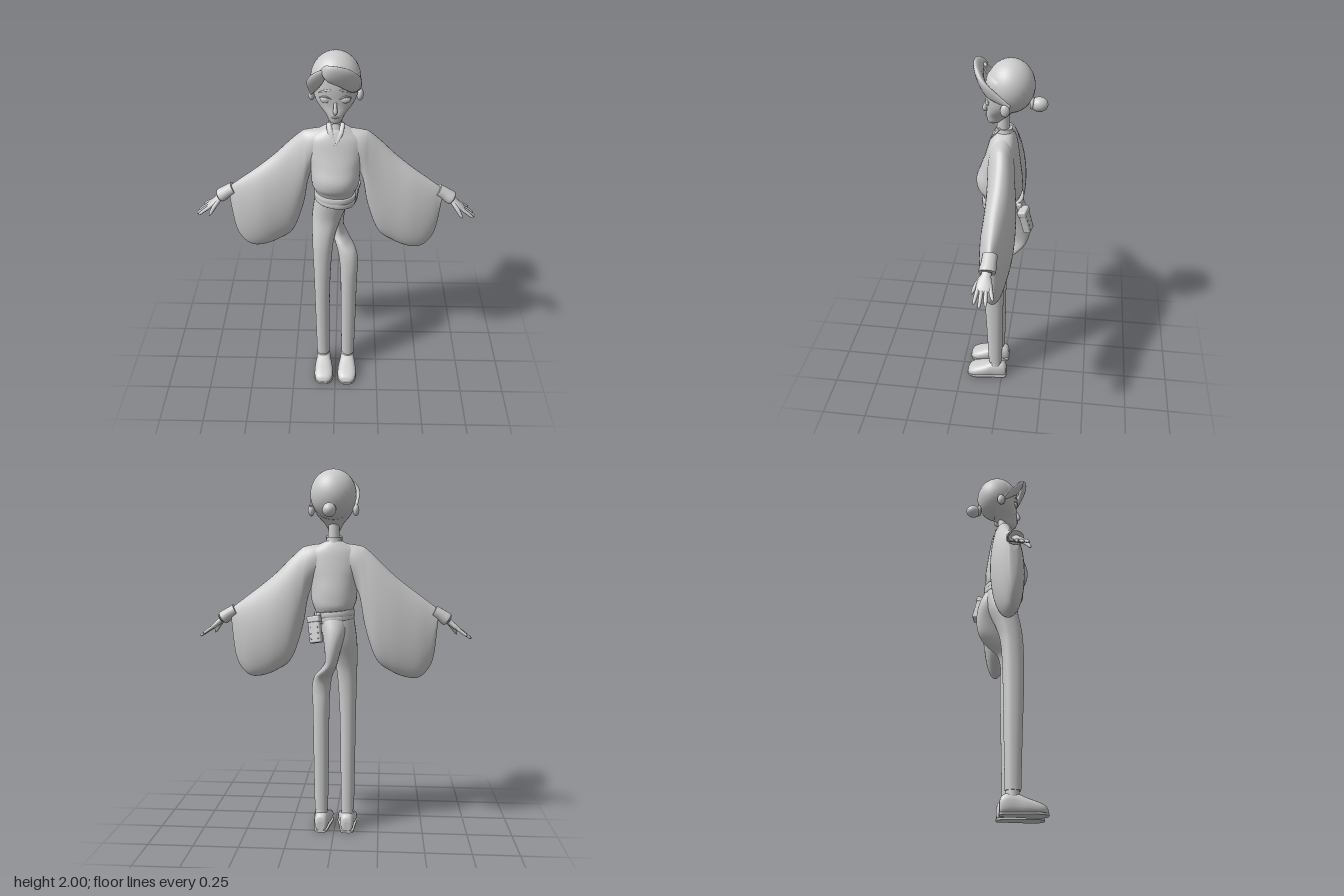
import * as THREE from 'three';
import { RoundedBoxGeometry } from 'three/addons/geometries/RoundedBoxGeometry.js';

const clay = new THREE.MeshStandardMaterial({ color: 0xcccccc });
clay.name = 'pale grey';

// Catmull-Rom smoothing of rows of numbers
function smoothRows(rows, steps) {
  const out = [], at = (i) => rows[Math.max(0, Math.min(rows.length - 1, i))];
  for (let i = 0; i < rows.length - 1; i++) {
    for (let s = 0; s < steps; s++) {
      const t = s / steps;
      out.push(at(i).map((b, k) => {
        const a = at(i - 1)[k], c = at(i + 1)[k], d = at(i + 2)[k];
        return b + 0.5 * t * (c - a + t * (2 * a - 5 * b + 4 * c - d + t * (3 * (b - c) + d - a)));
      }));
    }
  }
  out.push(at(rows.length - 1));
  return out;
}

// Closed skin over rings of points, with separate end caps
function skin(rings) {
  const m = rings[0].length, pos = [], idx = [];
  rings.forEach((r) => r.forEach((p) => pos.push(p.x, p.y, p.z)));
  for (let i = 0; i < rings.length - 1; i++) {
    for (let j = 0; j < m; j++) {
      const a = i * m + j, b = i * m + (j + 1) % m;
      idx.push(a, b, a + m, b, b + m, a + m);
    }
  }
  [rings[0], rings[rings.length - 1]].forEach((r, end) => {
    const base = pos.length / 3, c = new THREE.Vector3();
    r.forEach((p) => { c.addScaledVector(p, 1 / m); pos.push(p.x, p.y, p.z); });
    pos.push(c.x, c.y, c.z);
    for (let j = 0; j < m; j++) {
      const a = base + j, b = base + (j + 1) % m;
      idx.push(base + m, end ? a : b, end ? b : a);
    }
  });
  const g = new THREE.BufferGeometry();
  g.setAttribute('position', new THREE.Float32BufferAttribute(pos, 3));
  g.setIndex(idx);
  g.computeVertexNormals();
  return g;
}

const power = (v, n) => Math.sign(v) * Math.abs(v) ** (2 / n);

// Loft along an axis. Rows: y [y,x0,x1,z0,z1], x [x,y0,y1,z0,z1], z [z,x0,x1,y0,y1]
function loft(axis, rows, n = 2, steps = 5, m = 32) {
  return skin(smoothRows(rows, steps).map(([t, a0, a1, b0, b1]) => Array.from({ length: m }, (_, j) => {
    const th = j / m * Math.PI * 2;
    let u = Math.cos(th), v = Math.sin(th);
    if (axis === 'y') [u, v] = [v, u];
    const a = (a0 + a1) / 2 + (a1 - a0) / 2 * power(u, n);
    const b = (b0 + b1) / 2 + (b1 - b0) / 2 * power(v, n);
    return axis === 'x' ? new THREE.Vector3(t, a, b)
      : axis === 'y' ? new THREE.Vector3(a, t, b) : new THREE.Vector3(a, b, t);
  })));
}

// Flattened strand along rows [x,y,z,halfWidth,halfThickness]
function strand(rows, wide = [0, 0, 1], m = 14) {
  const r = smoothRows(rows, 5), at = (i) => new THREE.Vector3(...r[Math.max(0, Math.min(r.length - 1, i))].slice(0, 3));
  return skin(r.map((row, i) => {
    const T = at(i + 1).sub(at(i - 1)).normalize();
    const W = new THREE.Vector3(...wide);
    W.addScaledVector(T, -W.dot(T)).normalize();
    const N = T.clone().cross(W);
    return Array.from({ length: m }, (_, j) => {
      const th = j / m * Math.PI * 2;
      return at(i).addScaledVector(W, row[3] * Math.cos(th)).addScaledVector(N, row[4] * Math.sin(th));
    });
  }));
}

export function createModel() {
  const model = new THREE.Group();
  const add = (name, geo, parent = model) => {
    const mesh = new THREE.Mesh(geo, clay);
    mesh.name = name;
    parent.add(mesh);
    return mesh;
  };
  const ball = (name, p, s, parent) => add(name,
    new THREE.SphereGeometry(1, 28, 20).scale(...s).translate(...p), parent);

  // Head: face, skull of hair, bun and swept locks
  const head = new THREE.Group();
  head.name = 'head';
  model.add(head);
  add('face', loft('y', [
    [1.672, -0.012, 0.012, 0.035, 0.065], [1.685, -0.03, 0.03, 0.01, 0.077], [1.72, -0.05, 0.05, -0.03, 0.083],
    [1.76, -0.085, 0.085, -0.07, 0.078], [1.8, -0.105, 0.105, -0.1, 0.08], [1.86, -0.112, 0.112, -0.12, 0.084],
    [1.92, -0.1, 0.1, -0.1, 0.075], [1.96, -0.04, 0.04, -0.06, 0.03]], 2.2), head);
  ball('hair', [0, 1.868, -0.036], [0.121, 0.13, 0.117], head);
  ball('bun', [0.012, 1.785, -0.175], [0.035, 0.036, 0.042], head);
  add('bunTie', new THREE.TorusGeometry(0.022, 0.01, 8, 20).translate(0.01, 1.79, -0.14), head);
  add('quiff', strand([[-0.065, 1.95, 0.085, 0.008, 0.006], [-0.03, 1.95, 0.117, 0.045, 0.016], [0.04, 1.925, 0.107, 0.054, 0.018],
    [0.095, 1.87, 0.06, 0.04, 0.016], [0.118, 1.81, -0.045, 0.006, 0.006]], [0.25, 0.9, 0.3]), head);
  add('sideLock', strand([[-0.03, 1.955, 0.09, 0.01, 0.008], [-0.075, 1.925, 0.095, 0.035, 0.013],
    [-0.105, 1.875, 0.07, 0.032, 0.012], [-0.117, 1.8, 0.0, 0.006, 0.005]], [-0.4, 0.8, 0.4]), head);
  add('nose', strand([[0, 1.79, 0.078, 0.007, 0.007], [0, 1.755, 0.09, 0.01, 0.011],
    [0, 1.742, 0.091, 0.01, 0.01], [0, 1.733, 0.082, 0.004, 0.004]], [1, 0, 0]), head);
  ball('mouth', [0, 1.714, 0.083], [0.018, 0.004, 0.005], head);
  for (const s of [-1, 1]) {
    ball('eye', [s * 0.046, 1.802, 0.067], [0.026, 0.019, 0.013], head);
    add('eyelid', strand([[s * 0.018, 1.806, 0.079, 0.003, 0.003], [s * 0.046, 1.82, 0.078, 0.004, 0.005],
      [s * 0.075, 1.808, 0.06, 0.003, 0.003]], [0, 1, 0], 8), head);
    add('eyebrow', strand([[s * 0.02, 1.853, 0.083, 0.004, 0.003], [s * 0.05, 1.849, 0.077, 0.005, 0.003],
      [s * 0.078, 1.835, 0.063, 0.002, 0.002]], [0, 1, 0], 8), head);
    ball('ear', [s * 0.117, 1.79, -0.022], [0.017, 0.032, 0.023], head);
  }

  // Neck and crossed collar
  add('neck', new THREE.CylinderGeometry(0.028, 0.034, 0.13, 24).translate(0, 1.665, 0));
  add('collar', loft('y', [[1.59, -0.065, 0.065, -0.06, 0.05], [1.625, -0.043, 0.043, -0.05, 0.042],
    [1.65, -0.037, 0.037, -0.047, 0.034]]));
  for (const s of [-1, 1]) {
    add('lapel', strand([[s * 0.034, 1.655, 0.015, 0.012, 0.006], [s * 0.025, 1.615, 0.044, 0.014, 0.006],
      [0, 1.558, 0.072, 0.005, 0.004]], [1, 0.4, 0]));
  }

  // Bloused top
  add('top', loft('y', [
    [1.255, -0.098, 0.098, -0.085, 0.1], [1.285, -0.11, 0.11, -0.098, 0.112], [1.32, -0.122, 0.122, -0.1, 0.133],
    [1.37, -0.125, 0.125, -0.098, 0.138], [1.43, -0.13, 0.13, -0.09, 0.117], [1.5, -0.145, 0.145, -0.08, 0.092],
    [1.57, -0.14, 0.14, -0.068, 0.07], [1.61, -0.085, 0.085, -0.056, 0.052], [1.63, -0.045, 0.045, -0.045, 0.04]], 2.2));

  // Arms: hanging sleeve, cuff and hand, built once and mirrored
  for (const s of [1, -1]) {
    const arm = new THREE.Group();
    arm.name = s > 0 ? 'leftArm' : 'rightArm';
    arm.scale.x = s;
    model.add(arm);
    add('sleeve', loft('x', [
      [0.03, 1.45, 1.622, -0.055, 0.05], [0.1, 1.41, 1.613, -0.066, 0.06], [0.14, 1.33, 1.606, -0.072, 0.062],
      [0.17, 1.17, 1.594, -0.08, 0.062], [0.23, 1.0, 1.54, -0.092, 0.064], [0.31, 0.935, 1.462, -0.092, 0.068],
      [0.39, 0.902, 1.397, -0.08, 0.07], [0.46, 0.9, 1.345, -0.065, 0.06], [0.51, 0.945, 1.308, -0.048, 0.046],
      [0.54, 1.02, 1.285, -0.036, 0.032], [0.556, 1.18, 1.27, -0.026, 0.022]], 2, 5, 40), arm);
    add('cuff', strand([[0.535, 1.262, -0.004, 0.036, 0.032], [0.57, 1.242, -0.003, 0.037, 0.033],
      [0.605, 1.218, 0, 0.041, 0.036], [0.608, 1.216, 0, 0.034, 0.029]]), arm);
    add('palm', strand([[0.59, 1.225, 0, 0.022, 0.018], [0.62, 1.203, 0.004, 0.025, 0.016], [0.65, 1.178, 0.007, 0.037, 0.014],
      [0.672, 1.161, 0.007, 0.036, 0.011], [0.68, 1.155, 0.007, 0.028, 0.006]]), arm);
    [[-0.022, -0.037, 0.71], [-0.003, -0.008, 0.733], [0.016, 0.02, 0.74], [0.034, 0.046, 0.727]].forEach(([z0, z1, x1]) => {
      const y1 = 1.165 - (x1 - 0.664) * 0.7;
      add('finger', strand([[0.66, 1.169, z0, 0.01, 0.009], [(0.66 + x1) / 2, (1.172 + y1) / 2, (z0 + z1) / 2, 0.0095, 0.009],
        [x1 - 0.006, y1 + 0.005, z1, 0.007, 0.007], [x1, y1, z1, 0.002, 0.002]], [0, 0, 1], 10), arm);
    });
    add('thumb', strand([[0.615, 1.2, 0.018, 0.012, 0.012], [0.64, 1.17, 0.044, 0.011, 0.011],
      [0.66, 1.14, 0.06, 0.008, 0.008], [0.667, 1.128, 0.064, 0.002, 0.002]], [0, 0, 1], 10), arm);
  }

  // Trousers: straight right leg, left leg with a swept-back thigh
  add('rightTrouserLeg', loft('y', [
    [0.12, -0.112, -0.037, 0.0, 0.08], [0.4, -0.116, -0.035, -0.005, 0.09], [0.7, -0.12, -0.029, -0.01, 0.102],
    [0.9, -0.125, -0.016, -0.02, 0.1], [1.0, -0.127, 0.0, -0.045, 0.09], [1.1, -0.126, 0.035, -0.085, 0.075],
    [1.2, -0.113, 0.075, -0.1, 0.088], [1.27, -0.1, 0.095, -0.088, 0.098]], 2.2));
  add('leftTrouserLeg', loft('y', [
    [0.12, 0.037, 0.112, 0.0, 0.08], [0.4, 0.032, 0.117, -0.005, 0.09], [0.7, 0.029, 0.121, -0.01, 0.102],
    [0.82, 0.023, 0.125, -0.008, 0.1], [0.89, 0.012, 0.112, -0.03, 0.088], [0.94, -0.008, 0.073, -0.1, 0.062],
    [0.99, -0.025, 0.045, -0.135, 0.03], [1.07, -0.045, 0.047, -0.147, 0.025], [1.16, -0.075, 0.062, -0.133, 0.06],
    [1.25, -0.085, 0.09, -0.095, 0.09]], 2.2));

  // Two slanting belts
  [[1.247, -0.09], [1.222, -0.16]].forEach(([y, tilt]) => {
    const belt = add('belt', loft('y', [[-0.016, -0.104, 0.1, -0.1, 0.103], [-0.013, -0.111, 0.107, -0.107, 0.111],
      [0.013, -0.111, 0.107, -0.107, 0.111], [0.016, -0.104, 0.1, -0.1, 0.103]], 2.2, 2));
    belt.position.y = y;
    belt.rotation.z = tilt;
  });

  // Studded pouch hanging behind the left hip
  const pouch = new THREE.Group();
  pouch.name = 'pouch';
  pouch.position.set(0.09, 1.172, -0.128);
  pouch.rotation.set(0.2, -0.25, -0.12);
  model.add(pouch);
  add('pouchBody', new RoundedBoxGeometry(0.064, 0.14, 0.04, 3, 0.008), pouch);
  add('pouchFlap', new RoundedBoxGeometry(0.07, 0.035, 0.046, 3, 0.008).translate(0, 0.055, 0), pouch);
  add('pouchStrap', new RoundedBoxGeometry(0.02, 0.06, 0.03, 2, 0.006).translate(-0.02, 0.06, 0.025), pouch);
  for (const x of [-0.02, 0.02]) {
    for (const y of [-0.05, -0.02, 0.01]) ball('stud', [x, y, -0.02], [0.004, 0.004, 0.003], pouch);
  }

  // Ankles and shoes
  for (const s of [1, -1]) {
    const foot = new THREE.Group();
    foot.name = s > 0 ? 'leftFoot' : 'rightFoot';
    foot.scale.x = s;
    model.add(foot);
    add('ankle', new THREE.CylinderGeometry(0.032, 0.036, 0.06, 24).translate(0.074, 0.105, 0.038), foot);
    add('shoe', loft('z', [
      [-0.026, 0.055, 0.095, 0.01, 0.065], [-0.018, 0.042, 0.105, 0.004, 0.092], [0.01, 0.034, 0.112, 0.003, 0.108],
      [0.06, 0.028, 0.116, 0.003, 0.106], [0.11, 0.018, 0.123, 0.003, 0.086], [0.165, 0.015, 0.124, 0.003, 0.066],
      [0.197, 0.027, 0.112, 0.003, 0.05], [0.21, 0.05, 0.09, 0.006, 0.03]], 2.5), foot);
    add('sole', loft('z', [[-0.028, 0.055, 0.095, 0, 0.014], [-0.015, 0.038, 0.11, 0, 0.014], [0.06, 0.026, 0.118, 0, 0.014],
      [0.15, 0.011, 0.127, 0, 0.014], [0.195, 0.024, 0.115, 0, 0.014], [0.213, 0.05, 0.09, 0, 0.014]], 6), foot);
  }
  return model;
}
